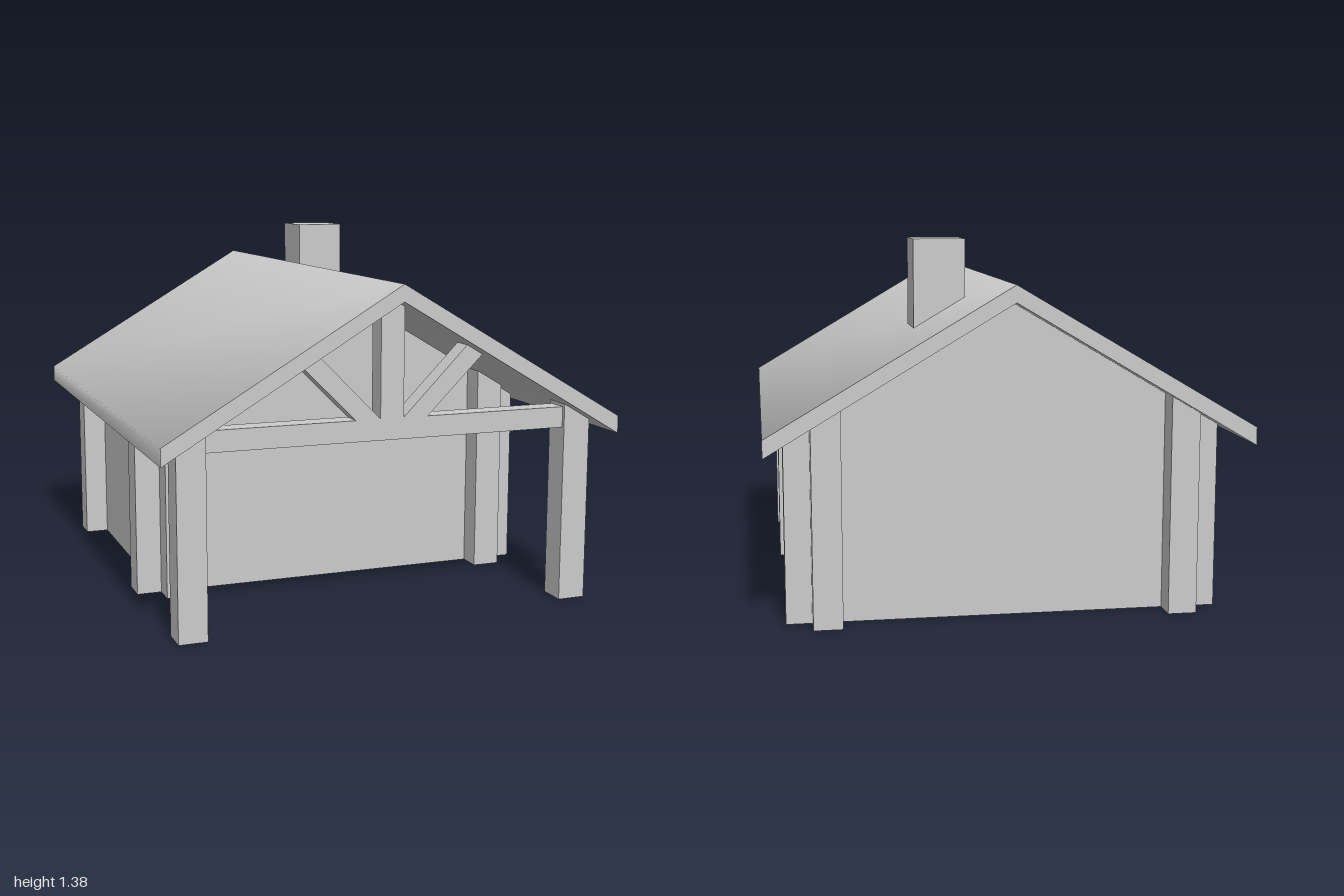
import * as THREE from 'three';
import { toCreasedNormals } from 'three/addons/utils/BufferGeometryUtils.js';

const material = new THREE.MeshStandardMaterial({ color: 0xcccccc });
const openMaterial = new THREE.MeshStandardMaterial({ color: 0xcccccc, side: THREE.DoubleSide });

// Heights of the roof's underside and top at a given x
const under = (x) => 1.17 - 0.594 * Math.abs(x);
const over = (x) => 1.232 - 0.59 * Math.abs(x);

// Outline in the xy plane, extruded from z0 to z1
function prism(name, points, z0, z1) {
  const shape = new THREE.Shape(points.map(([x, y]) => new THREE.Vector2(x, y)));
  const geometry = new THREE.ExtrudeGeometry(shape, { depth: z1 - z0, bevelEnabled: false });
  geometry.translate(0, 0, z0);
  const mesh = new THREE.Mesh(geometry, material);
  mesh.name = name;
  return mesh;
}

// Open-bottomed rectangular shell rising from the ground to the roof's underside
function shell(name, x0, x1, z0, z1) {
  const ring = [[x0, z1], [x1, z1], [x1, z0], [x0, z0]];
  if (x0 < 0 && x1 > 0) {
    ring.splice(3, 0, [0, z0]);
    ring.splice(1, 0, [0, z1]);
  }
  const positions = [];
  ring.forEach(([ax, az], i) => {
    const [bx, bz] = ring[(i + 1) % ring.length];
    const a = [ax, 0, az], b = [bx, 0, bz];
    const c = [bx, under(bx), bz], d = [ax, under(ax), az];
    positions.push(...a, ...b, ...c, ...a, ...c, ...d);
  });
  const geometry = new THREE.BufferGeometry();
  geometry.setAttribute('position', new THREE.Float32BufferAttribute(positions, 3));
  geometry.computeVertexNormals();
  const mesh = new THREE.Mesh(geometry, openMaterial);
  mesh.name = name;
  return mesh;
}

export function createModel() {
  const model = new THREE.Group();
  model.name = 'cabin';

  // Gabled roof, softly shaded over the ridge and eaves
  const e = 0.875;
  const roof = prism('roof', [
    [-e, under(e)], [0, under(0)], [e, under(e)],
    [e, over(e)], [0, over(0)], [-e, over(e)],
  ], -1, 1);
  roof.geometry = toCreasedNormals(roof.geometry, 1.1);
  model.add(roof);

  // Chimney, its base cut along the roof slope
  const mid = (x) => (under(x) + over(x)) / 2;
  model.add(prism('chimney',
    [[0.118, mid(0.118)], [0.31, mid(0.31)], [0.31, 1.377], [0.118, 1.377]], -0.592, -0.395));

  // Cabin walls with both gables
  model.add(shell('walls', -0.71, 0.71, -0.78, 0.303));

  // Posts: one for the porch and two at each cabin corner, on both sides
  const w = 0.107;
  const posts = [
    ['porchPost', 0.695, 0.81],
    ['frontCornerPost', 0.6, 0.29],
    ['frontSidePost', 0.695, 0.198],
    ['backSidePost', 0.695, -0.782],
    ['backCornerPost', 0.6, -0.873],
  ];
  for (const [name, x, z] of posts) {
    model.add(shell(name + 'Left', x, x + w, z, z + w));
    model.add(shell(name + 'Right', -x - w, -x, z, z + w));
  }

  // Porch truss: tie beam, king post and two slanted braces
  const truss = new THREE.Group();
  truss.name = 'porchTruss';
  const z0 = 0.823, z1 = 0.903;
  const k = 0.045, low = 0.745;
  truss.add(prism('tieBeam', [[-0.7, 0.667], [0.7, 0.667], [0.7, low], [-0.7, low]], z0, z1));
  truss.add(prism('kingPost', [[-k, low], [k, low], [k, under(k)], [0, under(0)], [-k, under(k)]], z0, z1));
  for (const s of [1, -1]) {
    truss.add(prism(s > 0 ? 'braceLeft' : 'braceRight', [
      [s * k, low], [s * 0.14, low], [s * 0.355, under(0.355)], [s * 0.293, under(0.293)],
    ], z0, z1));
  }
  model.add(truss);

  return model;
}
